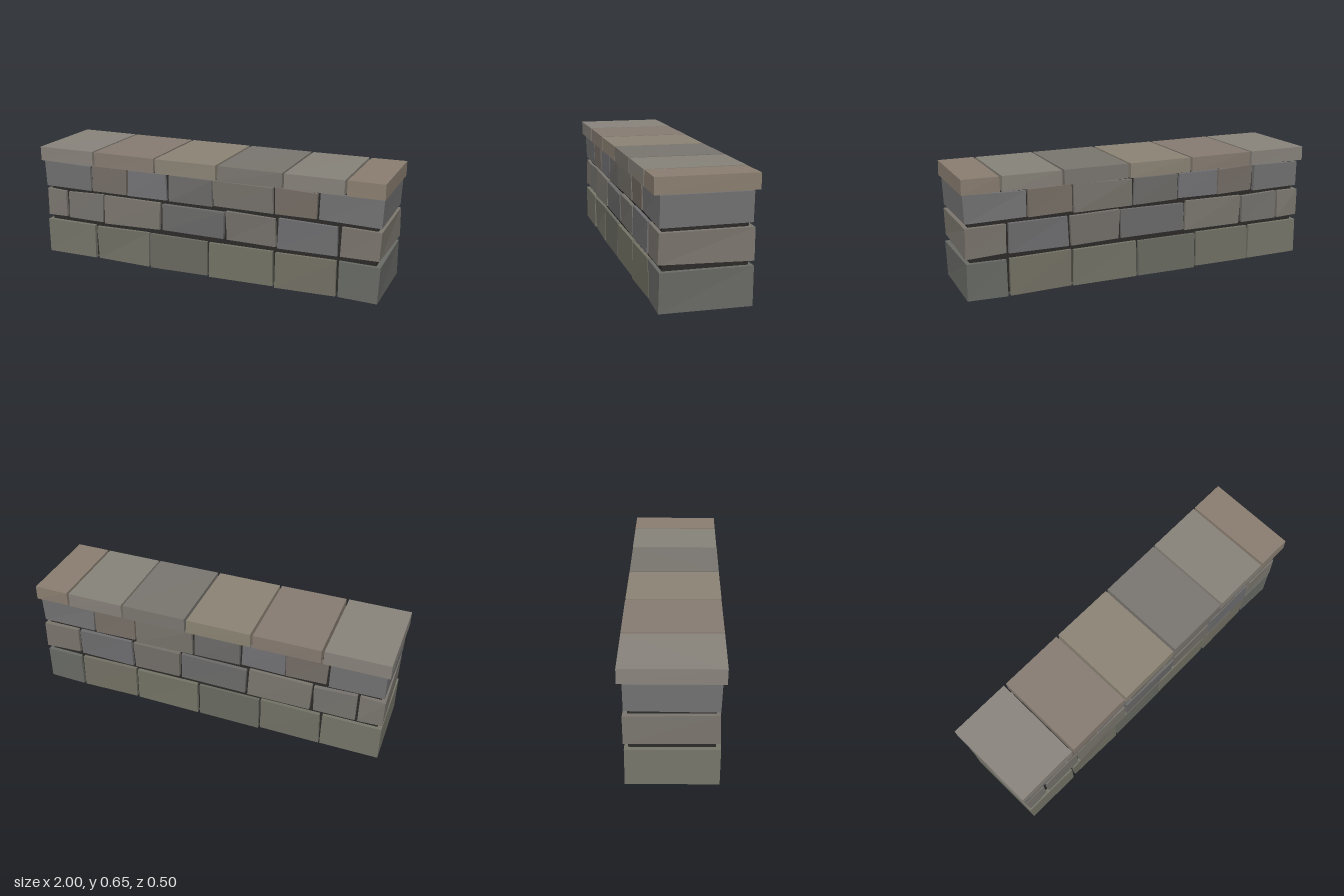
import * as THREE from 'three';

// small seeded generator, returns -1..1
function makeNoise(seed) {
  let s = seed;
  return () => {
    s = (s * 16807) % 2147483647;
    return (s / 2147483647) * 2 - 1;
  };
}

const noise = makeNoise(4127);

// hewn block: a box whose eight corners are each nudged slightly
function makeBlock(name, x0, x1, y0, y1, halfDepth, wobble, color) {
  const geo = new THREE.BoxGeometry(x1 - x0, y1 - y0, halfDepth * 2);
  geo.translate((x0 + x1) / 2, (y0 + y1) / 2, 0);
  const offsets = Array.from({ length: 8 }, () => [noise() * wobble, noise() * wobble, noise() * wobble]);
  const pos = geo.attributes.position;
  const midX = (x0 + x1) / 2, midY = (y0 + y1) / 2;
  for (let i = 0; i < pos.count; i++) {
    const x = pos.getX(i), y = pos.getY(i), z = pos.getZ(i);
    const corner = (x > midX ? 1 : 0) + (y > midY ? 2 : 0) + (z > 0 ? 4 : 0);
    const [dx, dy, dz] = offsets[corner];
    pos.setXYZ(
      i,
      THREE.MathUtils.clamp(x + dx, -1, 1),
      Math.max(y + dy, 0),
      z + dz
    );
  }
  geo.computeVertexNormals();
  const mesh = new THREE.Mesh(geo, new THREE.MeshStandardMaterial({ color, flatShading: true }));
  mesh.name = name;
  return mesh;
}

// each course: height range, half depth, joint centres along x, tints
const courses = [
  {
    name: 'bottomCourse', y: [0.006, 0.205], depth: 0.226, end: 0.987, gap: 0.013, wobble: 0.004,
    joints: [-0.665, -0.322, 0.04, 0.42, 0.77],
    colors: [0x77766a, 0x727266, 0x696a61, 0x747467, 0x747265, 0x696b66],
  },
  {
    name: 'middleCourse', y: [0.234, 0.392], depth: 0.228, end: 0.987, gap: 0.015, wobble: 0.005,
    joints: [-0.85, -0.608, -0.243, 0.142, 0.435, 0.772],
    colors: [0x7b766f, 0x77746f, 0x7a766e, 0x6c6b6a, 0x75716b, 0x6e6e70, 0x7b766e],
  },
  {
    name: 'upperCourse', y: [0.414, 0.558], depth: 0.226, end: 0.987, gap: 0.012, wobble: 0.005,
    joints: [-0.682, -0.455, -0.205, 0.066, 0.413, 0.658],
    colors: [0x727272, 0x776f68, 0x747477, 0x6f6d6a, 0x77736c, 0x786f67, 0x737374],
  },
  {
    name: 'capstones', y: [0.568, 0.648], depth: 0.251, end: 1, gap: 0.012, wobble: 0.0015,
    joints: [-0.65, -0.27, 0.1, 0.47, 0.8],
    colors: [0x89847c, 0x877c72, 0x8c8475, 0x7a7670, 0x87837a, 0x8a7e70],
  },
];

export function createModel() {
  const wall = new THREE.Group();
  wall.name = 'stoneWall';

  // dark mortar core, set back behind the stone faces
  const core = new THREE.Mesh(
    new THREE.BoxGeometry(1.93, 0.545, 0.414),
    new THREE.MeshStandardMaterial({ color: 0x2c2b29, flatShading: true })
  );
  core.position.y = 0.2935;
  core.name = 'mortarCore';
  wall.add(core);

  // stones run through the full depth of the wall
  for (const c of courses) {
    const row = new THREE.Group();
    row.name = c.name;
    const edges = [-c.end - c.gap / 2, ...c.joints, c.end + c.gap / 2];
    for (let i = 0; i < edges.length - 1; i++) {
      row.add(makeBlock(
        `${c.name}Stone${i + 1}`,
        edges[i] + c.gap / 2, edges[i + 1] - c.gap / 2,
        c.y[0], c.y[1], c.depth, c.wobble, c.colors[i]
      ));
    }
    wall.add(row);
  }
  return wall;
}
